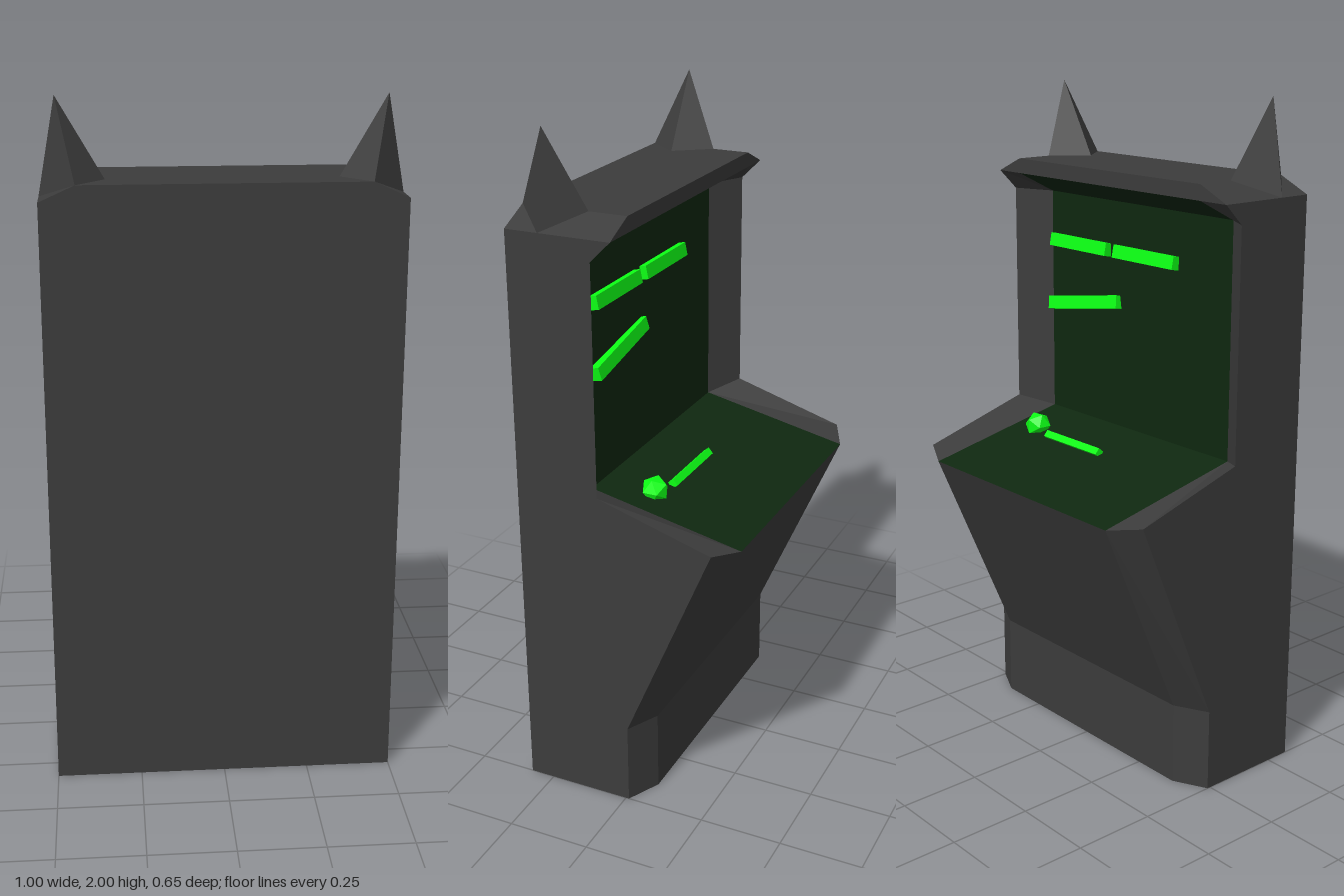
import * as THREE from 'three';

const material = (color) => new THREE.MeshStandardMaterial({ color, flatShading: true });

// Side profiles as [z, y], running from the back foot round the front to the back top
const OUTER = [[0.325, 0], [-0.01, 0], [-0.01, 0.25], [-0.277, 0.885], [0.07, 0.99],
  [0.07, 1.67], [0.01, 1.73], [0.01, 1.73], [0.325, 1.73]];
const INNER = [[0.325, 0], [-0.06, 0], [-0.06, 0.25], [-0.325, 0.865], [0.14, 0.965],
  [0.14, 1.665], [0.01, 1.73], [0.01, 1.775], [0.325, 1.775]];
const STATIONS = [[-0.5, OUTER], [-0.4, INNER], [0.4, INNER], [0.5, OUTER]];

function fromTriangles(positions) {
  const geometry = new THREE.BufferGeometry();
  geometry.setAttribute('position', new THREE.Float32BufferAttribute(positions, 3));
  geometry.computeVertexNormals();
  return geometry;
}

// Skin between stations; keep(span, edge) picks the quads
function skin(keep) {
  const out = [];
  for (let s = 0; s < 3; s++) {
    const [x0, p] = STATIONS[s], [x1, q] = STATIONS[s + 1];
    for (let i = 0; i < p.length; i++) {
      if (!keep(s, i)) continue;
      const j = (i + 1) % p.length;
      const at = (x, [z, y]) => [x, y, z];
      const a = at(x0, p[i]), b = at(x0, p[j]), c = at(x1, q[j]), d = at(x1, q[i]);
      out.push(...a, ...b, ...c, ...a, ...c, ...d);
    }
  }
  return fromTriangles(out);
}

export function createModel() {
  const group = new THREE.Group();
  const grey = material(0x3c3c3c);
  const darkGreen = material(0x0f2810);
  const brightGreen = material(0x0cff14);
  const add = (name, geometry, mat, x = 0, y = 0, z = 0) => {
    const mesh = new THREE.Mesh(geometry, mat);
    mesh.name = name;
    mesh.position.set(x, y, z);
    group.add(mesh);
    return mesh;
  };

  // Cabinet shell, with control panel, screen and canopy underside in green
  const isGreen = (s, i) => s === 1 && i >= 3 && i <= 5;
  add('cabinetBody', skin((s, i) => !isGreen(s, i)), grey);
  add('screenAndControlPanel', skin(isGreen), darkGreen);

  for (const side of [-1, 1]) {
    // Flat side wall
    const outline = OUTER.filter((_, i) => i !== 7).map(([z, y]) => new THREE.Vector2(-side * z, y));
    const wall = new THREE.ShapeGeometry(new THREE.Shape(outline));
    wall.rotateY(side * Math.PI / 2);
    add(side > 0 ? 'leftSideWall' : 'rightSideWall', wall, grey, side * 0.5);

    // Four-sided ear straddling the bevelled top edge
    const tip = [side * 0.45, 2, 0.23];
    const base = [[0.5, 1.73, 0.225], [0.4, 1.775, 0.125], [0.32, 1.775, 0.23], [0.4, 1.775, 0.325]]
      .map(([x, y, z]) => [side * x, y, z]);
    const faces = [];
    for (let i = 0; i < 4; i++) {
      const a = base[i], b = base[(i + 1) % 4];
      faces.push(...(side > 0 ? [...b, ...a, ...tip] : [...a, ...b, ...tip]));
    }
    const ear = fromTriangles(faces);
    add(side > 0 ? 'leftEar' : 'rightEar', ear, material(0x3c3c3c)).material.side = THREE.DoubleSide;
  }

  // Glowing bars on the screen: [x, y, length, tilt]
  for (const [x, y, length, tilt] of [[0.25, 1.515, 0.265, 0], [-0.05, 1.515, 0.265, 0], [0.23, 1.335, 0.32, -0.16]]) {
    const bar = add('screenBar', new THREE.BoxGeometry(length, 0.04, 0.03), brightGreen, x, y, 0.13);
    bar.rotation.set(0.2, 0, tilt);
  }

  // Controls
  add('controlBar', new THREE.BoxGeometry(0.25, 0.022, 0.022), brightGreen, 0.098, 0.935, -0.03).rotation.x = 0.7;
  add('controlBall', new THREE.IcosahedronGeometry(0.042, 0), brightGreen, 0.298, 0.947, -0.01);

  return group;
}
